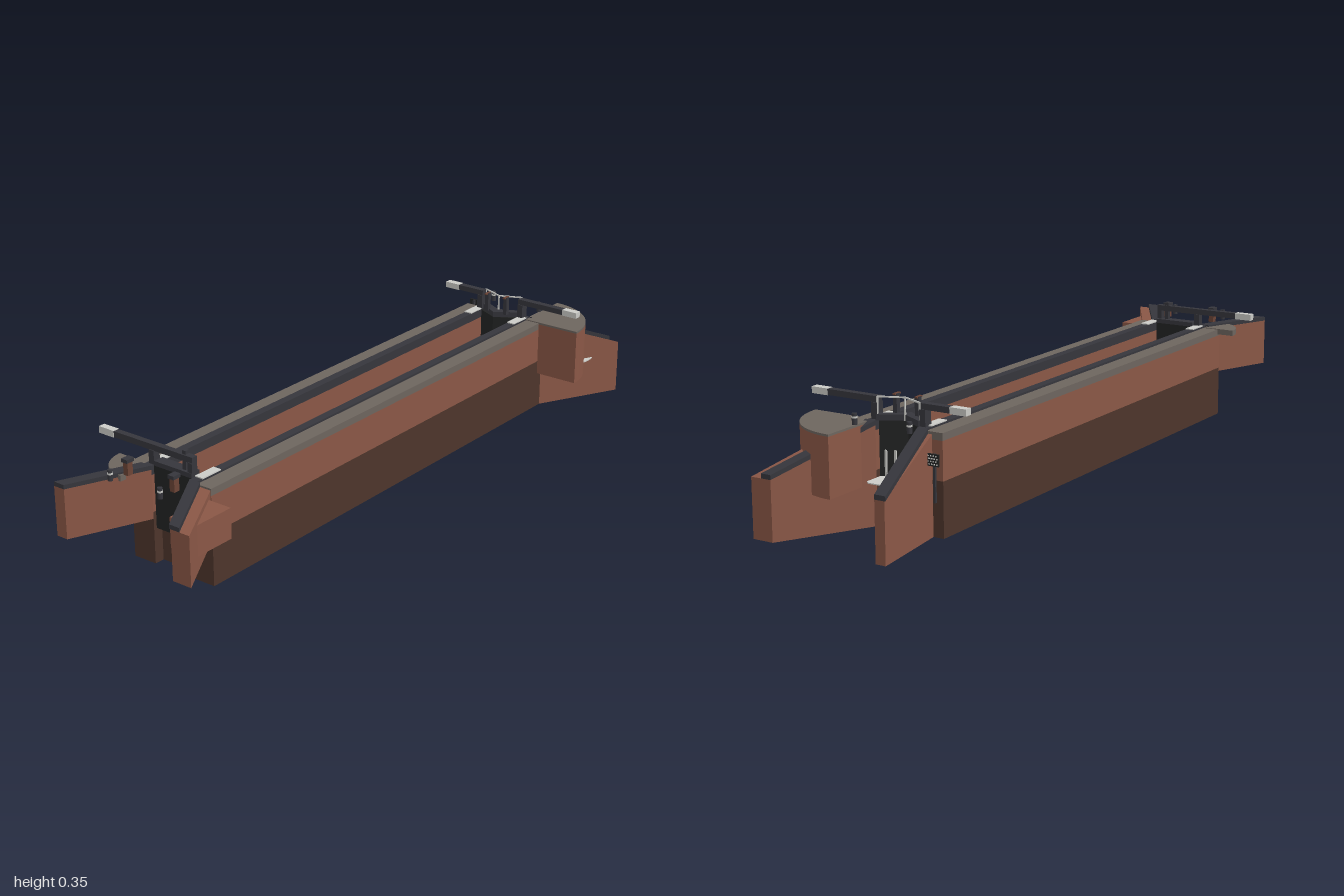
import * as THREE from 'three';

const mat = (name, color, side = THREE.FrontSide) => {
  const m = new THREE.MeshStandardMaterial({ color, side });
  m.name = name;
  return m;
};

export function createModel() {
  const root = new THREE.Group();
  root.name = 'canalLock';
  const brick = mat('brick', 0x8a5746);
  const wetBrick = mat('wet brick', 0x4d352b);
  const paving = mat('grey paving', 0x6d655e);
  const coping = mat('dark coping', 0x36363c);
  const timber = mat('black timber', 0x222323);
  const white = mat('pale paint', 0xcbcbc7);
  const rust = mat('rust post', 0x6b4436);

  const add = (name, geo, material, parent = root) => {
    const m = new THREE.Mesh(geo, material);
    m.name = name;
    parent.add(m);
    return m;
  };
  // Box given by its limits
  const box = (name, m, x0, x1, y0, y1, z0, z1, parent) => {
    const g = new THREE.BoxGeometry(x1 - x0, y1 - y0, z1 - z0);
    g.translate((x0 + x1) / 2, (y0 + y1) / 2, (z0 + z1) / 2);
    return add(name, g, m, parent);
  };
  // Upright prism over an [x, z] plan; bottom and top may depend on x
  const prism = (name, m, plan, bottom, top, parent) => {
    const shape = new THREE.Shape(plan.map(([x, z]) => new THREE.Vector2(x, -z)));
    const g = new THREE.ExtrudeGeometry(shape, { depth: 1, bevelEnabled: false });
    g.rotateX(-Math.PI / 2);
    const p = g.attributes.position;
    const at = (f, x) => (typeof f === 'function' ? f(x) : f);
    for (let i = 0; i < p.count; i++) p.setY(i, at(p.getY(i) > 0.5 ? top : bottom, p.getX(i)));
    g.computeVertexNormals();
    return add(name, g, m, parent);
  };
  const sector = (cx, cz, r, from, to, n = 20) => {
    const pts = [[cx, cz]];
    for (let i = 0; i <= n; i++) {
      const a = from + ((to - from) * i) / n;
      pts.push([cx + r * Math.cos(a), cz + r * Math.sin(a)]);
    }
    return pts;
  };

  // Chamber walls: [name, inner z, outer z]
  for (const [name, zi, zo] of [['front', 0.06, 0.132], ['back', -0.073, -0.147]]) {
    const g = new THREE.Group();
    g.name = name + 'Wall';
    root.add(g);
    const s = Math.sign(zi);
    const span = (a, b) => [Math.min(a, b), Math.max(a, b)];
    box('lowerWall', wetBrick, -0.78, 0.75, 0, 0.15, ...span(zi, zo), g);
    box('upperWall', brick, -0.78, 0.75, 0.15, 0.255, ...span(zi, zo), g);
    box('pavingSlab', paving, -0.78, 0.75, 0.255, 0.275, ...span(zi + s * 0.02, zo), g);
    box('copingEdge', coping, -0.78, 0.75, 0.255, 0.281, ...span(zi, zi + s * 0.025), g);
    for (const [a, b] of [[-0.76, -0.69], [0.66, 0.73]])
      box('gateStone', white, a, b, 0.281, 0.284, ...span(zi, zi + s * 0.026), g);
  }

  // Lower wing walls with sloping tops
  const slope = (x) => 0.268 - (x - 0.75) * 0.42;
  const slopeCap = (x) => slope(x) + 0.013;
  prism('lowerWingFront', brick, [[0.75, 0.06], [1, 0.2], [1, 0.262], [0.75, 0.132]], 0, slope);
  prism('lowerWingFrontCoping', coping, [[0.75, 0.06], [1, 0.2], [1, 0.23], [0.75, 0.09]], slope, slopeCap);
  prism('lowerWingBack', brick, [[0.75, -0.073], [1, -0.12], [1, -0.15], [0.75, -0.115]], 0, slope);
  prism('lowerWingBackCoping', coping, [[0.75, -0.071], [1, -0.12], [1, -0.153], [0.75, -0.103]], slope, slopeCap);

  // Upper wing walls with level tops
  prism('upperWingFront', brick, [[-0.78, 0.06], [-1, 0.2], [-1, 0.26], [-0.78, 0.13]], 0.13, 0.27);
  prism('upperWingFrontCoping', coping, [[-0.78, 0.06], [-1, 0.195], [-1, 0.228], [-0.78, 0.095]], 0.27, 0.282);
  prism('upperWingBack', brick, [[-0.78, -0.073], [-1, -0.165], [-1, -0.2], [-0.78, -0.115]], 0.13, 0.27);
  prism('upperWingBackCoping', coping, [[-0.78, -0.073], [-1, -0.165], [-1, -0.2], [-0.78, -0.108]], 0.27, 0.282);
  box('wingButtress', brick, -0.93, -0.8, 0.17, 0.255, 0.13, 0.215);

  // Rounded landings for the balance beams
  const big = sector(0.73, 0.08, 0.188, 0, Math.PI / 2);
  prism('lowerLanding', brick, big, 0.11, 0.272);
  prism('lowerLandingPaving', paving, big, 0.272, 0.278);
  prism('upperLanding', paving, sector(-0.765, -0.1, 0.1, Math.PI, Math.PI * 1.5), 0.26, 0.277);

  // Lower mitre gates, pointing upstream
  const lower = new THREE.Group();
  lower.name = 'lowerGates';
  root.add(lower);
  const mid = -0.006;
  for (const [z, s] of [[0.06, 1], [-0.072, -1]]) {
    const leaf = [[0.735, z], [0.7, mid], [0.682, mid], [0.715, z]];
    prism('gateLeaf', timber, leaf, 0.012, 0.28, lower);
    prism('gateWalkway', coping, leaf.map(([x, w]) => [x + (x > 0.69 ? 0.012 : 0), w]), 0.28, 0.296, lower);
    // Balance beam with pale tip
    const end = s > 0 ? 0.27 : -0.212, tip = end - s * 0.05;
    box('balanceBeam', coping, 0.72, 0.74, 0.325, 0.341, Math.min(z, tip), Math.max(z, tip), lower);
    box('beamTip', white, 0.719, 0.741, 0.324, 0.342, Math.min(tip, end), Math.max(tip, end), lower);
    box('heelPost', coping, 0.717, 0.743, 0.28, 0.325, z + s * 0.009 - 0.009, z + s * 0.009 + 0.009, lower);
    // Paddle gear
    const zp = mid + s * 0.034;
    box('paddleGear', coping, 0.695, 0.709, 0.29, 0.346, zp - 0.006, zp + 0.006, lower);
    box('paddleCrank', rust, 0.688, 0.712, 0.343, 0.347, zp - 0.004, zp + 0.004, lower);
    // Handrail over the leaf
    const pole = (x, w) => box('railPost', white, x - 0.002, x + 0.002, 0.28, 0.342, w - 0.002, w + 0.002, lower);
    pole(0.74, z);
    pole(0.712, mid);
    prism('handrail', white, [[0.742, z], [0.714, mid], [0.71, mid], [0.738, z]], 0.339, 0.343, lower);
  }
  // Leaks down the gate and foam below
  for (const [z, h] of [[0.038, 0.203], [0.008, 0.206], [-0.026, 0.189], [-0.054, 0.185]])
    box('waterLeak', white, 0.736, 0.74, 0.13, h, z - 0.003, z + 0.003);
  prism('foam', white, [[0.735, 0.06], [0.702, mid], [0.735, -0.072], [0.79, -0.072], [0.8, -0.06], [0.8, 0.05], [0.79, 0.06]], 0.127, 0.13);
  const patch = add('foamPatch', new THREE.CylinderGeometry(0.05, 0.05, 0.003, 20), white);
  patch.scale.z = 0.5;
  patch.position.set(0.89, 0.126, 0.197);

  // Upper gate, sill and single beam
  const upper = new THREE.Group();
  upper.name = 'upperGate';
  root.add(upper);
  box('sill', wetBrick, -0.75, -0.715, 0, 0.14, -0.073, 0.06, upper);
  box('gateLeaf', timber, -0.77, -0.745, 0.1, 0.28, -0.073, 0.06, upper);
  box('gateWalkway', coping, -0.772, -0.74, 0.28, 0.293, -0.07, 0.058, upper);
  box('balanceBeam', coping, -0.768, -0.75, 0.319, 0.336, -0.217, 0.06, upper);
  box('beamTip', white, -0.769, -0.749, 0.318, 0.337, -0.268, -0.215, upper);
  box('heelPost', coping, -0.77, -0.748, 0.28, 0.32, -0.09, -0.072, upper);
  box('headPost', coping, -0.77, -0.75, 0.28, 0.32, 0.045, 0.06, upper);
  box('paddleGear', coping, -0.764, -0.752, 0.29, 0.346, 0.022, 0.034, upper);

  // Mooring bollards with pale bands
  for (const [x, z] of [[-0.905, 0.077], [-0.905, -0.095], [0.81, 0.08], [0.81, -0.09]]) {
    const b = new THREE.Group();
    b.name = 'bollard';
    b.position.set(x, 0.28, z);
    root.add(b);
    for (const [n, m, r, h, y] of [['post', coping, 0.007, 0.03, 0.015], ['band', white, 0.0078, 0.005, 0.02]])
      add(n, new THREE.CylinderGeometry(r, r, h, 12), m, b).position.y = y;
  }
  // Ground paddle posts
  for (const z of [0.075, -0.085]) {
    box('groundPaddle', rust, -0.86, -0.842, 0.28, 0.322, z - 0.008, z + 0.008);
    box('groundPaddleCap', coping, -0.864, -0.838, 0.316, 0.326, z - 0.01, z + 0.01);
  }

  // Notice board on a pole
  const sign = new THREE.Group();
  sign.name = 'noticeBoard';
  root.add(sign);
  box('pole', coping, 0.841, 0.847, 0.125, 0.25, -0.191, -0.185, sign);
  box('board', timber, 0.847, 0.852, 0.22, 0.251, -0.205, -0.173, sign);
  for (let r = 0; r < 4; r++)
    for (let c = 0; c < 4; c++) {
      const y = 0.225 + r * 0.007, z = -0.2 + c * 0.0075 + (r % 2) * 0.002;
      box('boardMark', white, 0.852, 0.853, y - 0.0015, y + 0.0015, z - 0.002, z + 0.002, sign);
    }
  return root;
}
